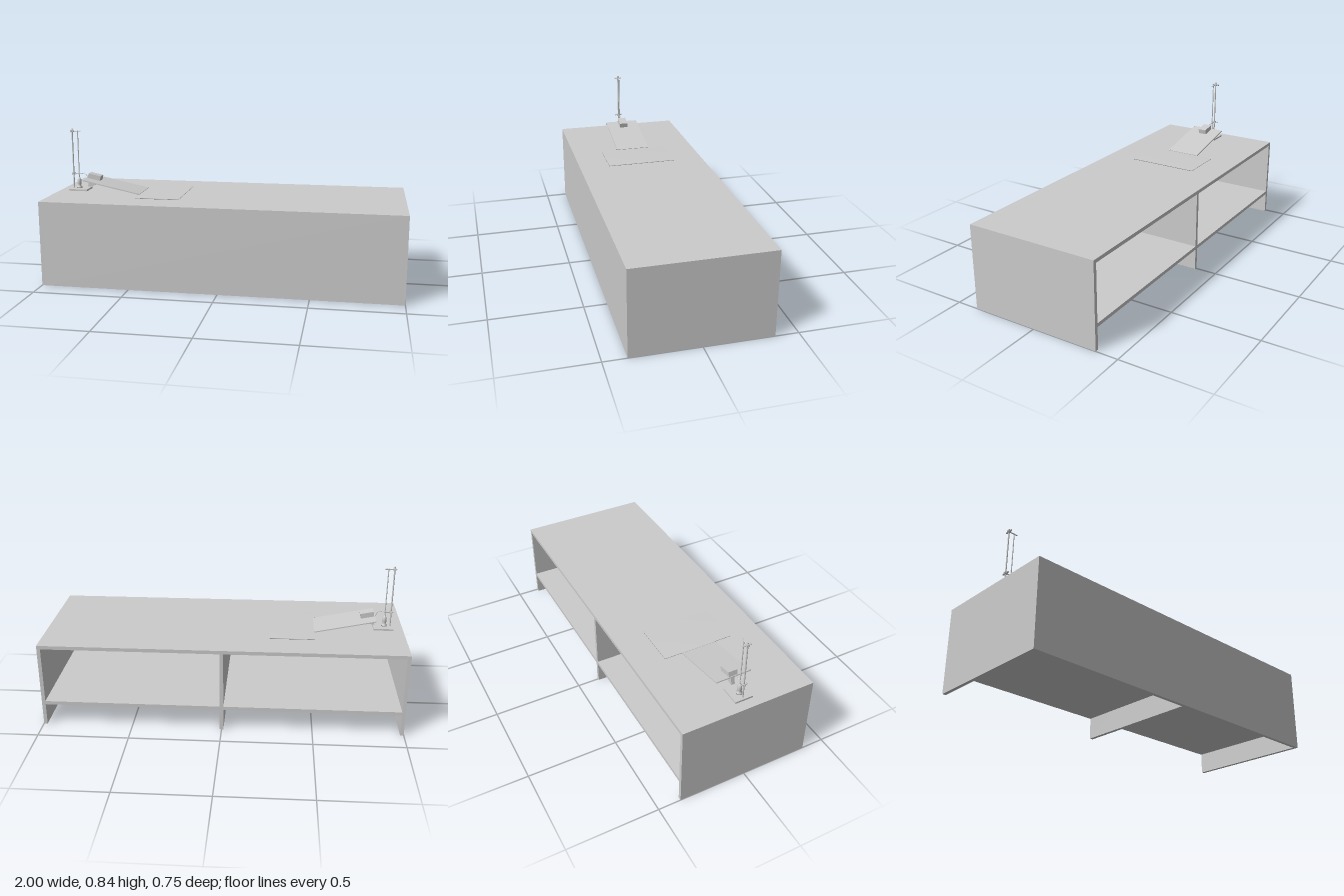
import * as THREE from 'three';
import { mergeVertices } from 'three/addons/utils/BufferGeometryUtils.js';

const grey = new THREE.MeshStandardMaterial({ color: 0xcccccc, side: THREE.DoubleSide });

export function createModel() {
  const root = new THREE.Group();
  root.name = 'labBench';
  const H = 0.48, D = 0.75, T = 0.02;

  const add = (parent, name, geometry, x = 0, y = 0, z = 0) => {
    const mesh = new THREE.Mesh(geometry, grey);
    mesh.name = name;
    mesh.position.set(x, y, z);
    parent.add(mesh);
    return mesh;
  };
  const box = (parent, name, w, h, d, x, y, z = 0) =>
    add(parent, name, new THREE.BoxGeometry(w, h, d), x, y, z);
  // Round bar between two points
  const bar = (parent, name, r, a, b) => {
    const p = new THREE.Vector3(...a), q = new THREE.Vector3(...b);
    const m = add(parent, name, new THREE.CylinderGeometry(r, r, p.distanceTo(q), 16));
    m.position.copy(p).add(q).multiplyScalar(0.5);
    m.quaternion.setFromUnitVectors(new THREE.Vector3(0, 1, 0), q.sub(p).normalize());
    return m;
  };

  // Bench: open at the back, closed at the front
  const bench = new THREE.Group();
  bench.name = 'bench';
  root.add(bench);
  box(bench, 'frontPanel', 2 - 2 * T, H, T, 0, H / 2, (D - T) / 2);
  for (const s of [-1, 1]) {
    box(bench, s < 0 ? 'rightSide' : 'leftSide', T, H, D, s * (1 - T / 2), H / 2);
    box(bench, 'shelf', 1 - T * 1.5, T, D - T, s * (0.5 - T / 4), 0.133, -T / 2);
  }
  box(bench, 'divider', T, H - T, D - T, 0, (H - T) / 2, -T / 2);
  box(bench, 'benchTop', 2 - 2 * T, T, D - T, 0, H - T / 2, -T / 2);

  // Thin mat with softly shaded edges
  const matGeo = new THREE.BoxGeometry(0.25, 0.004, 0.4);
  matGeo.deleteAttribute('normal');
  matGeo.deleteAttribute('uv');
  const softMat = mergeVertices(matGeo);
  softMat.computeVertexNormals();
  add(root, 'mat', softMat, -0.375, H + 0.002, 0);

  // Inclined track; local x runs down the slope from its upper end
  const ramp = new THREE.Group();
  ramp.name = 'ramp';
  ramp.position.set(-0.84, 0.556, 0);
  ramp.rotation.z = -Math.atan2(0.071, 0.34);
  root.add(ramp);
  box(ramp, 'rampBoard', 0.345, 0.006, 0.2, 0.1725, -0.003);
  box(ramp, 'rampLip', 0.008, 0.006, 0.2, 0.343, -0.002);
  box(ramp, 'cart', 0.075, 0.032, 0.05, 0.042, 0.012);
  for (const x of [0.012, 0.335])
    bar(ramp, 'rampPin', 0.004, [x, -0.003, 0.095], [x, -0.003, 0.105]);

  // Quarter-round bracket below the upper end
  const quarter = new THREE.Shape();
  quarter.moveTo(0.01, -0.004);
  quarter.lineTo(0.065, -0.004);
  quarter.absarc(0.01, -0.004, 0.05, 0, -Math.PI / 2, true);
  quarter.closePath();
  add(ramp, 'rampBracket',
    new THREE.ExtrudeGeometry(quarter, { depth: 0.02, bevelEnabled: false, curveSegments: 10 }), 0, 0, -0.01);
  bar(ramp, 'bracketArm', 0.004, [0.06, -0.02, 0], [0.14, -0.018, 0]);
  bar(ramp, 'bracketKnob', 0.006, [0.14, -0.018, -0.008], [0.14, -0.018, 0.008]);

  // Retort stand with two clamp arms
  const stand = new THREE.Group();
  stand.name = 'stand';
  root.add(stand);
  box(stand, 'standBase', 0.11, 0.01, 0.1, -0.89, H + 0.005);
  bar(stand, 'standRod', 0.004, [-0.93, H + 0.01, 0], [-0.93, 0.842, 0]);
  for (const y of [0.575, 0.827]) {
    bar(stand, 'clampArm', 0.003, [-0.942, y, 0], [-0.878, y, 0]);
    bar(stand, 'clampScrew', 0.003, [-0.93, y, -0.02], [-0.93, y, 0.02]);
    box(stand, 'clampBlock', 0.016, 0.012, 0.016, -0.93, y);
    for (const z of [-1, 1])
      bar(stand, 'screwHead', 0.005, [-0.93, y, z * 0.016], [-0.93, y, z * 0.021]);
  }
  bar(stand, 'secondRod', 0.003, [-0.897, 0.55, 0], [-0.897, 0.832, 0]);

  // Turned weight at the foot of the second rod
  const profile = [[0, 0], [0.016, 0], [0.016, 0.008], [0.008, 0.014], [0.012, 0.025],
    [0.012, 0.048], [0.005, 0.062], [0, 0.066]].map(p => new THREE.Vector2(...p));
  add(stand, 'weight', new THREE.LatheGeometry(profile, 20), -0.897, H + 0.01, 0);

  // Cord from the lower arm to the ramp
  const cord = new THREE.CatmullRomCurve3([[-0.878, 0.575], [-0.855, 0.572], [-0.842, 0.545],
    [-0.828, 0.525]].map(([x, y]) => new THREE.Vector3(x, y, 0)));
  add(stand, 'cord', new THREE.TubeGeometry(cord, 16, 0.0015, 6));

  return root;
}
